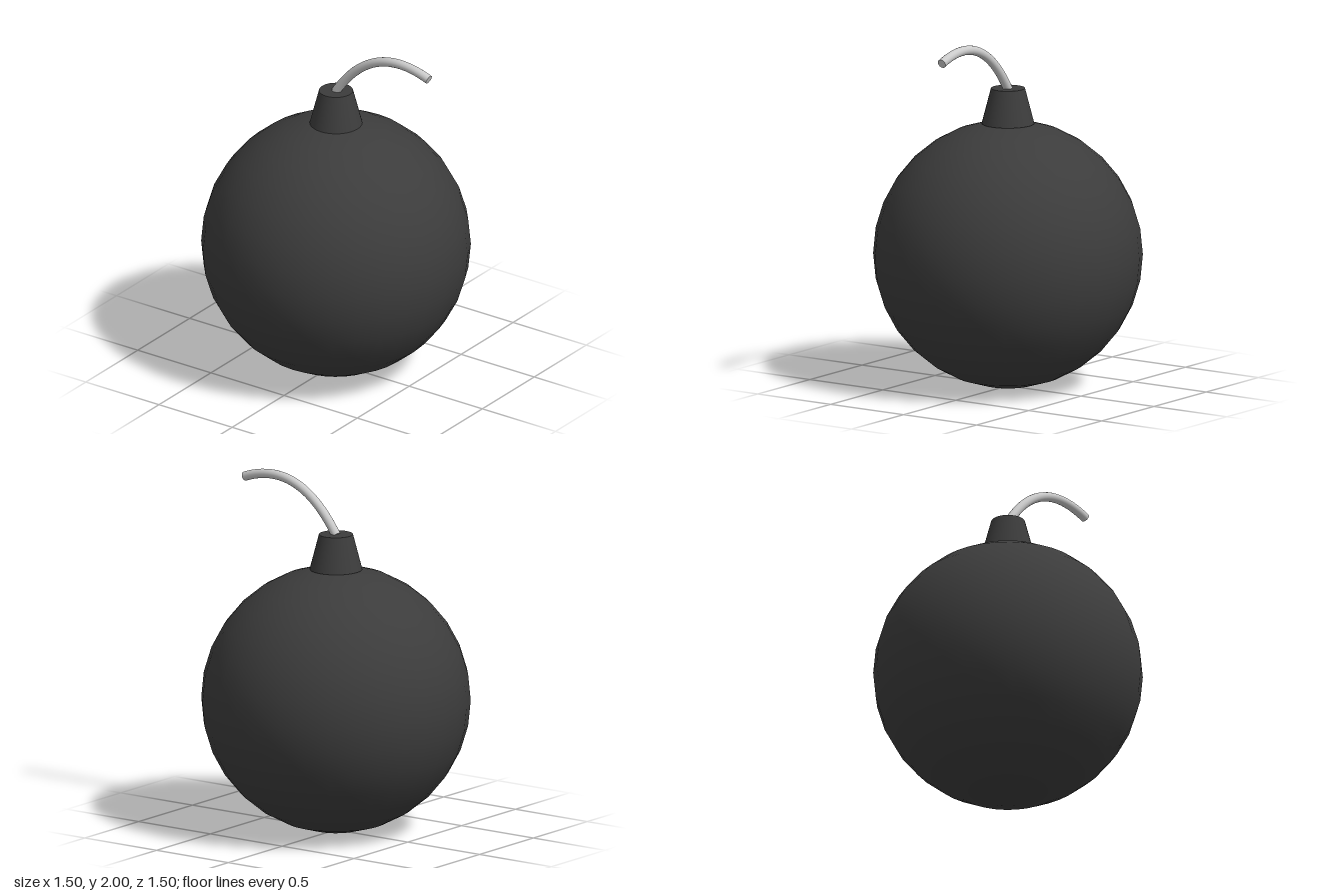
import * as THREE from 'three';

export function createModel() {
  const model = new THREE.Group();
  const iron = new THREE.MeshStandardMaterial({ color: 0x3c3c3c });
  const cord = new THREE.MeshStandardMaterial({ color: 0xcccccc });

  const add = (name, geometry, material, y = 0) => {
    const mesh = new THREE.Mesh(geometry, material);
    mesh.name = name;
    mesh.position.y = y;
    model.add(mesh);
    return mesh;
  };

  // Round body
  add('body', new THREE.SphereGeometry(0.752, 32, 16), iron, 0.754);

  // Tapered neck, seated slightly inside the body
  const neckTop = 1.695, neckBottom = 1.495;
  add('neck', new THREE.CylinderGeometry(0.095, 0.147, neckTop - neckBottom, 32),
    iron, (neckTop + neckBottom) / 2);

  // Fuse arching towards +x
  const path = new THREE.QuadraticBezierCurve3(
    new THREE.Vector3(0, 1.69, 0),
    new THREE.Vector3(0.255, 2.083, 0),
    new THREE.Vector3(0.635, 1.937, 0)
  );
  const fuseRadius = 0.026;
  add('fuse', new THREE.TubeGeometry(path, 24, fuseRadius, 16), cord);

  // Flat caps closing both fuse ends
  for (const [name, t, sign] of [['fuseBase', 0, -1], ['fuseTip', 1, 1]]) {
    const cap = add(name, new THREE.CircleGeometry(fuseRadius, 16), cord);
    cap.position.copy(path.getPoint(t));
    cap.quaternion.setFromUnitVectors(
      new THREE.Vector3(0, 0, 1), path.getTangent(t).multiplyScalar(sign));
  }

  return model;
}
